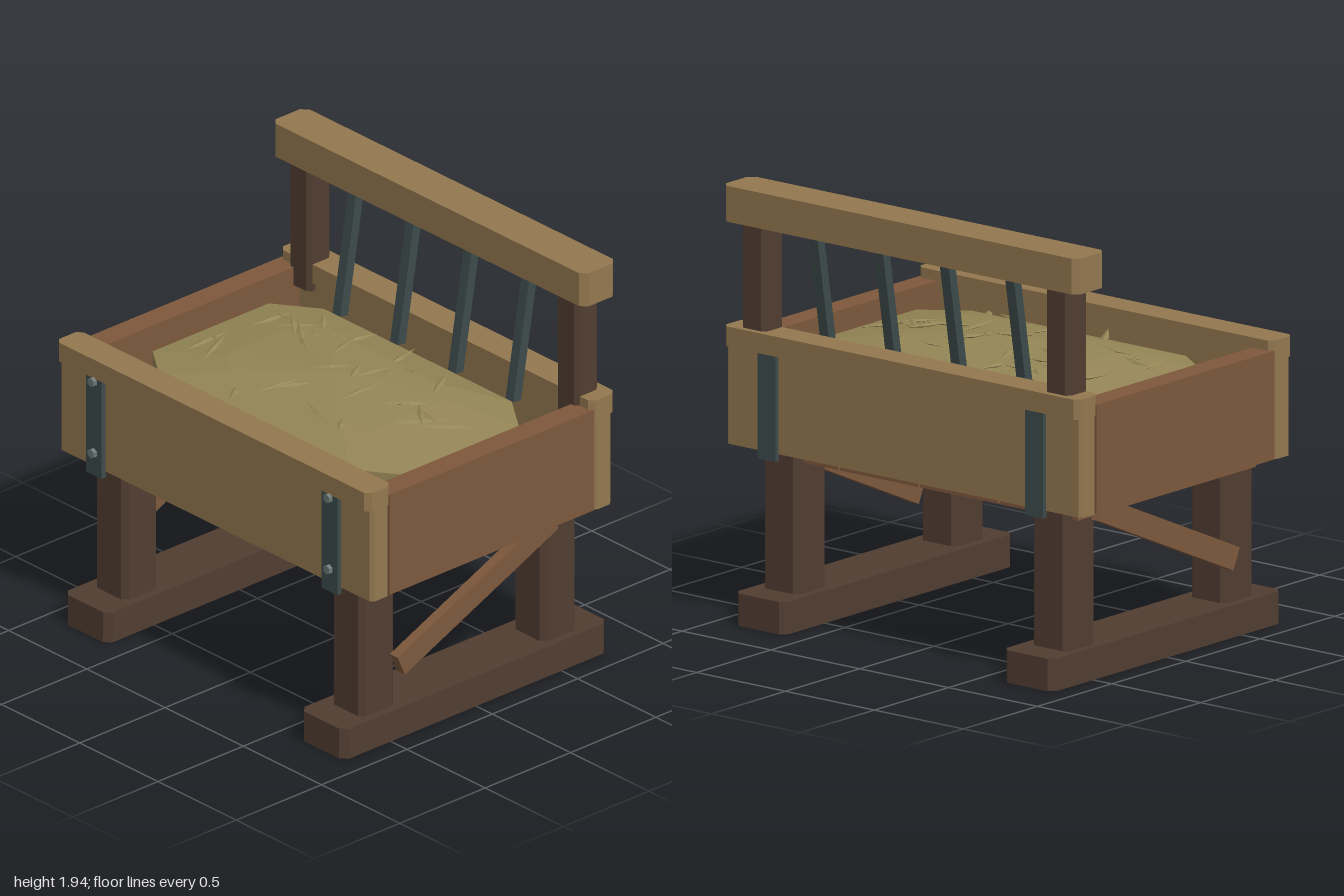
import * as THREE from 'three';

const mat = (color, flat = true) => new THREE.MeshStandardMaterial({ color, flatShading: flat });

export function createModel() {
  const root = new THREE.Group();
  const tan = mat(0x94784f), brown = mat(0x7d583c), dark = mat(0x513d31);
  const iron = mat(0x3d4b4b), boltGrey = mat(0x6c7876), straw = mat(0x938555);

  const add = (name, geo, material, x = 0, y = 0, z = 0) => {
    const m = new THREE.Mesh(geo, material);
    m.name = name;
    m.position.set(x, y, z);
    root.add(m);
    return m;
  };
  const box = (name, w, h, d, material, x, y, z) =>
    add(name, new THREE.BoxGeometry(w, h, d), material, x, y, z);

  // Upright prism whose four vertical edges are chamfered; y0 is its underside
  const beam = (name, w, h, d, c, material, x, y0, z) => {
    const a = w / 2, b = d / 2;
    const pts = [[a - c, -b], [a, c - b], [a, b - c], [a - c, b], [c - a, b], [-a, b - c], [-a, c - b], [c - a, -b]];
    const geo = new THREE.ExtrudeGeometry(
      new THREE.Shape(pts.map(p => new THREE.Vector2(...p))), { depth: h, bevelEnabled: false });
    geo.rotateX(-Math.PI / 2);
    return add(name, geo, material, x, y0, z);
  };

  // Skids, legs, rear posts, braces and side panels
  for (const s of [1, -1]) {
    beam('skid', 0.285, 0.145, 1.55, 0.03, dark, s * 0.755, 0, 0);
    for (const f of [1, -1]) beam('leg', 0.205, 0.63, 0.205, 0.025, dark, s * 0.757, 0.14, f * 0.532);
    beam('rearPost', 0.14, 0.62, 0.135, 0.02, dark, s * 0.855, 1.18, -0.632);
    const brace = box('brace', 0.05, 0.105, 0.985, brown, s * 0.885, 0.552, 0);
    brace.rotation.x = Math.atan2(0.4, 0.9);
    box('sidePanel', 0.11, 0.485, 1.2, brown, s * 0.942, 1.0225, 0);
  }

  // Floor planks with narrow gaps
  for (let i = 0; i < 4; i++) box('floorPlank', 0.438, 0.05, 1.2, brown, -0.675 + i * 0.45, 0.755, 0);

  // Front and back boards with caps and iron straps
  for (const f of [1, -1]) {
    beam(f > 0 ? 'frontBoard' : 'backBoard', 2, 0.44, 0.105, 0.015, tan, 0, 0.78, f * 0.6525);
    beam(f > 0 ? 'frontCap' : 'backCap', 2, 0.09, 0.145, 0.025, tan, 0, 1.22, f * 0.6555);
    for (const s of [1, -1]) {
      box('strap', 0.1, 0.47, 0.025, iron, s * 0.753, 0.985, f * 0.7145);
      if (f < 0) continue;
      for (const y of [0.86, 1.205]) {
        const bolt = add('bolt', new THREE.CylinderGeometry(0.022, 0.022, 0.022, 6), boltGrey, s * 0.753, y, 0.735);
        bolt.rotation.x = Math.PI / 2;
      }
    }
  }

  // Raised rear rail and leaning bars
  beam('topRail', 2, 0.16, 0.2, 0.03, tan, 0, 1.78, -0.635);
  for (const x of [-0.553, -0.185, 0.185, 0.553]) {
    const bar = box('rackBar', 0.05, 0.64, 0.045, iron, x, 1.49, -0.585);
    bar.rotation.x = -0.165;
  }

  // Straw bed: octagonal rings rising to a low crown
  const outline = [[0.8, 0.34], [0.6, 0.48], [-0.6, 0.48], [-0.8, 0.34], [-0.8, -0.34], [-0.6, -0.48], [0.6, -0.48], [0.8, -0.34]];
  const rings = [[0, 0.785], [1, 0.785], [1, 1.2], [0.6, 1.258], [0, 1.29]];
  const verts = [], faces = [];
  for (const [k, y] of rings) for (const [x, z] of outline) verts.push(x * k, y, z * k);
  for (let r = 0; r < rings.length - 1; r++) for (let i = 0; i < 8; i++) {
    const j = (i + 1) % 8, a = r * 8 + i, b = r * 8 + j;
    if (r > 0) faces.push(a, a + 8, b);
    if (r < rings.length - 2) faces.push(b, a + 8, b + 8);
  }
  const bedGeo = new THREE.BufferGeometry();
  bedGeo.setAttribute('position', new THREE.Float32BufferAttribute(verts, 3));
  bedGeo.setIndex(faces);
  bedGeo.computeVertexNormals();
  const bedMat = straw.clone();
  bedMat.side = THREE.DoubleSide;
  add('strawBed', bedGeo, bedMat);

  // Height of the bed surface at a point
  const bedHeight = (x, z) => {
    const ax = Math.abs(x), az = Math.abs(z);
    const k = Math.max(ax / 0.8, az / 0.48, (0.7 * ax + az) / 0.9);
    return k < 0.6 ? 1.29 - (k / 0.6) * 0.032 : 1.258 - ((k - 0.6) / 0.4) * 0.058;
  };

  // Loose straws: x, z, heading in degrees, length
  const straws = [
    [0.05, -0.33, 78, 0.23], [-0.17, -0.2, 72, 0.24], [-0.42, -0.31, 45, 0.16], [-0.29, -0.31, -4, 0.17],
    [-0.21, -0.33, 102, 0.18], [0.37, -0.27, 62, 0.21], [0.22, -0.265, -2, 0.16], [0.16, -0.16, -6, 0.14],
    [0.11, -0.11, 110, 0.15], [-0.03, 0, -45, 0.18], [0.07, -0.05, 62, 0.14], [0.21, 0.05, 88, 0.27],
    [0.36, 0.02, -35, 0.26], [0.42, -0.05, -48, 0.16], [0.51, -0.03, 40, 0.28], [0.55, 0.02, -55, 0.28],
    [0.64, -0.05, -50, 0.27], [0.53, -0.04, 12, 0.2], [0.21, 0.3, 18, 0.27], [0.36, 0.3, 50, 0.13],
    [-0.22, 0.39, 57, 0.24], [-0.09, 0.25, 105, 0.21], [-0.05, 0.22, 117, 0.18], [-0.67, 0.15, 85, 0.3],
    [-0.58, 0.18, 68, 0.23], [-0.48, 0.16, -2, 0.19], [-0.6, 0.13, 18, 0.24], [-0.62, -0.19, 102, 0.2],
    [-0.53, -0.22, 8, 0.24], [-0.48, -0.19, 38, 0.2], [-0.4, -0.16, 38, 0.26], [-0.46, -0.2, -40, 0.18],
    [-0.34, -0.195, 0, 0.13], [-0.3, -0.09, 28, 0.16],
  ];
  straws.forEach(([x, z, deg, len], i) => {
    const m = add('straw', new THREE.OctahedronGeometry(1), straw, x, bedHeight(x, z) + 0.01, z);
    m.scale.set(len / 2, 0.009, 0.018);
    m.rotation.set(0, -deg * Math.PI / 180, 0.08 * Math.sin(i * 2.3));
  });

  return root;
}
